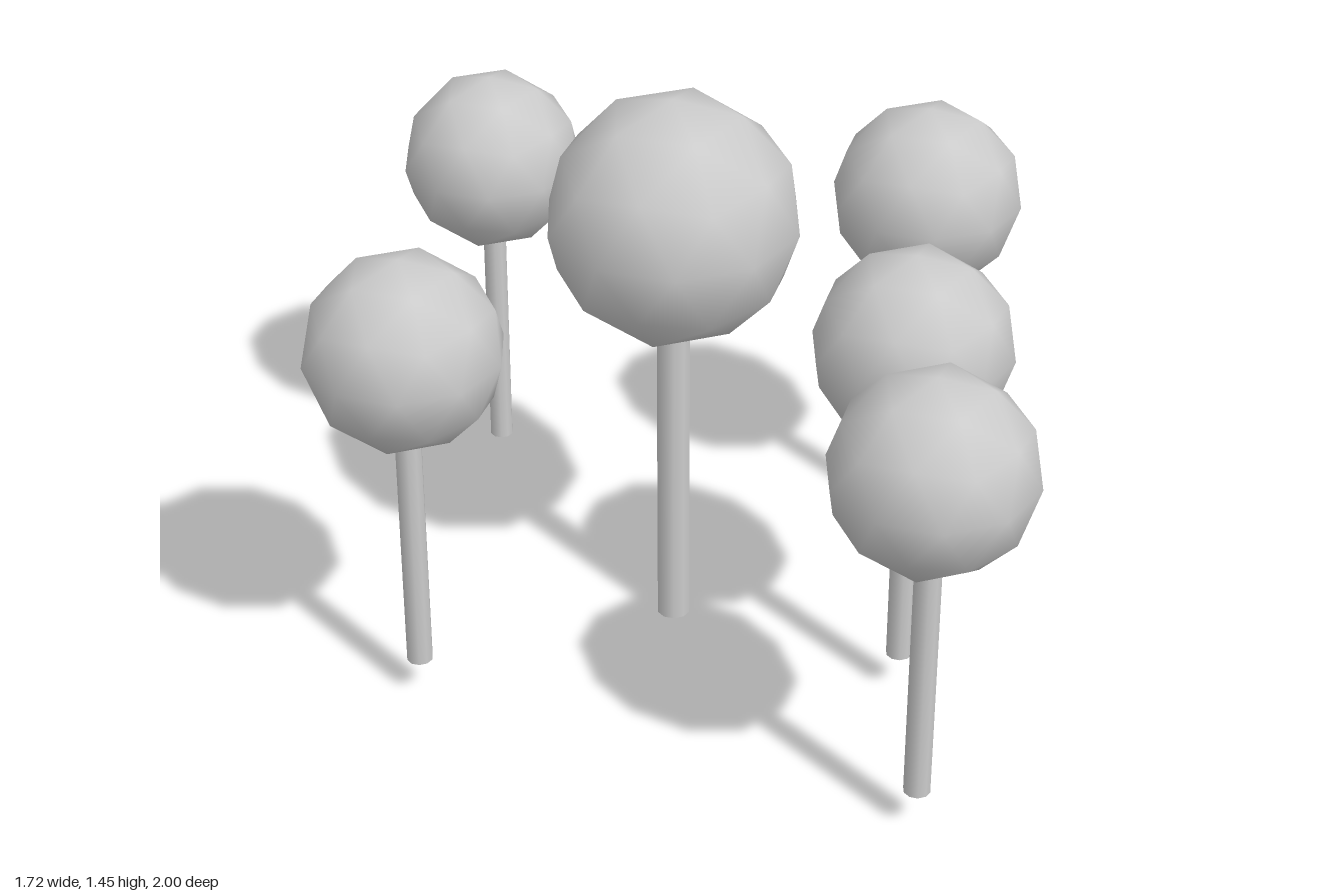
import * as THREE from 'three';

const material = new THREE.MeshStandardMaterial({ color: 0xcccccc });

// x, z, trunk base, canopy centre height, canopy radius, trunk radius
const trees = [
  [-0.01, -0.1, 0, 1.137, 0.31, 0.042],
  [-0.635, 0.23, 0.1, 0.974, 0.24, 0.032],
  [0.537, 0.23, 0.1, 0.974, 0.24, 0.032],
  [0.537, 0.757, 0.1, 0.974, 0.24, 0.032],
  [0.632, -0.508, 0.1, 0.974, 0.24, 0.032],
  [-0.467, -0.77, 0.115, 0.952, 0.23, 0.03],
];

function makeTree([x, z, base, centre, radius, trunkRadius]) {
  const tree = new THREE.Group();
  tree.name = 'tree';
  tree.position.set(x, 0, z);

  // Trunk reaches a little way into the canopy
  const top = centre - radius * 0.85;
  const trunk = new THREE.Mesh(
    new THREE.CylinderGeometry(trunkRadius, trunkRadius, top - base, 10), material);
  trunk.name = 'trunk';
  trunk.position.y = (top + base) / 2;

  // Smooth low-poly ball, turned so that one corner points straight up
  const ball = new THREE.IcosahedronGeometry(radius, 1);
  ball.rotateZ(-Math.atan(2 / (1 + Math.sqrt(5))));
  const canopy = new THREE.Mesh(ball, material);
  canopy.name = 'canopy';
  canopy.position.y = centre;

  tree.add(trunk, canopy);
  return tree;
}

export function createModel() {
  const grove = new THREE.Group();
  grove.name = 'grove';
  for (const spec of trees) grove.add(makeTree(spec));
  return grove;
}
